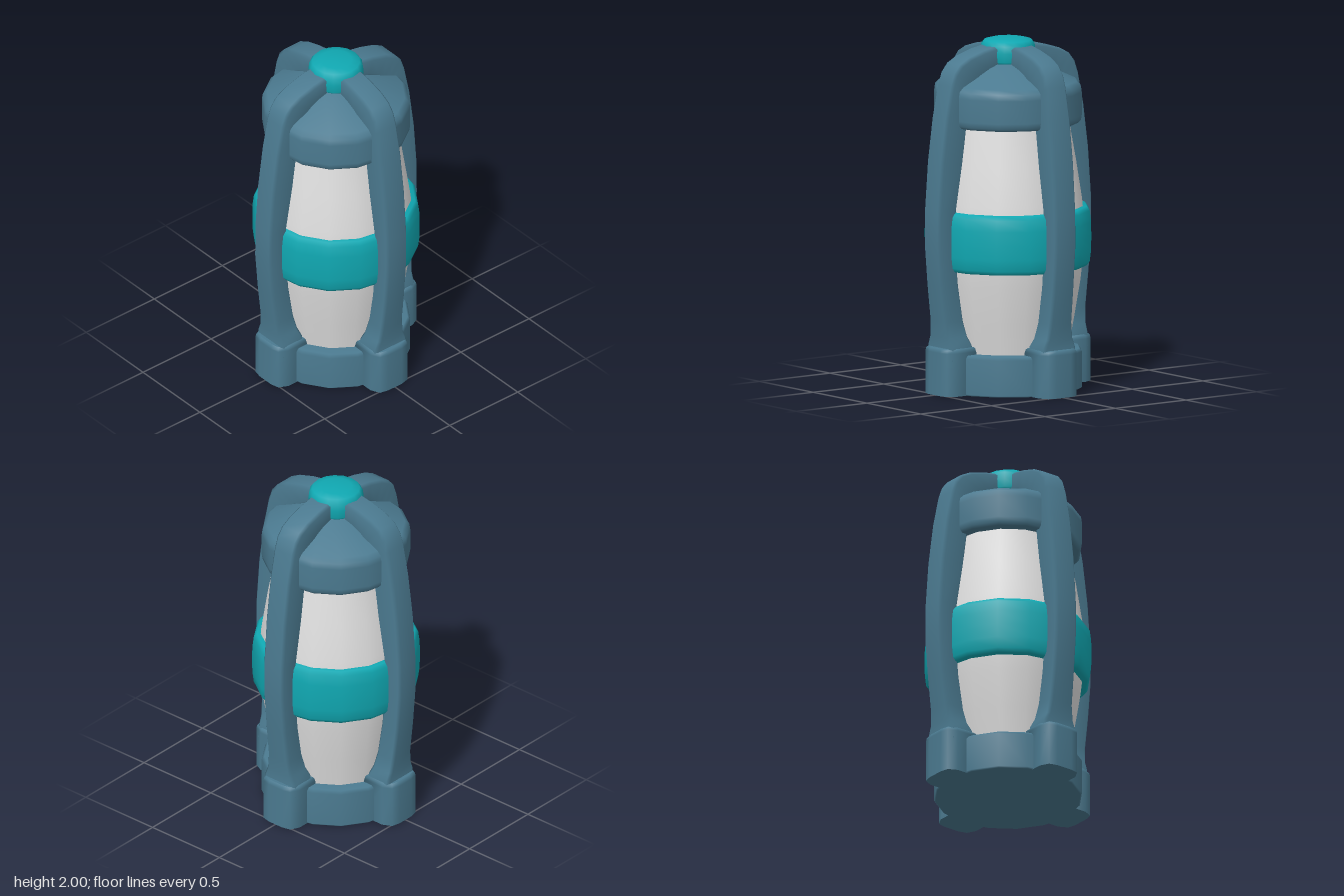
import * as THREE from 'three';
import { mergeVertices } from 'three/addons/utils/BufferGeometryUtils.js';

const SIDES = 16;

// Revolved part, listed bottom to top as [radius, y], with area-weighted smooth normals
function lathe(profile) {
  let geo = new THREE.LatheGeometry(profile.map(([r, y]) => new THREE.Vector2(r, y)), SIDES);
  geo.deleteAttribute('uv');
  geo.deleteAttribute('normal');
  geo = mergeVertices(geo, 1e-4);
  geo.computeVertexNormals();
  return geo;
}

// Skin over equal-length rings, with flat caps on both ends
function loft(rings) {
  const n = rings[0].length;
  const last = rings.length - 1;
  const points = [...rings, rings[0], rings[last]].flat();
  const index = [];
  for (let i = 0; i < last; i++) {
    for (let j = 0; j < n; j++) {
      const k = (j + 1) % n;
      const a = i * n + j, b = i * n + k, c = b + n, d = a + n;
      index.push(a, b, c, a, c, d);
    }
  }
  const bottom = rings.length * n, top = bottom + n;
  for (let j = 1; j < n - 1; j++) {
    index.push(bottom, bottom + j + 1, bottom + j);
    index.push(top, top + j, top + j + 1);
  }
  const geo = new THREE.BufferGeometry();
  geo.setAttribute('position', new THREE.Float32BufferAttribute(points.flat(), 3));
  geo.setIndex(index);
  geo.computeVertexNormals();
  return geo;
}

// Bevelled rectangular section of an arm between an outer and an inner point
function armRing([ox, oy, ix, iy, w]) {
  const len = Math.hypot(ix - ox, iy - oy);
  const b = 0.016, t = b / len;
  const at = (s, z) => [ox + (ix - ox) * s, oy + (iy - oy) * s, z];
  return [
    at(0, w - b), at(0, b - w), at(t, -w), at(1 - t, -w),
    at(1, b - w), at(1, w - b), at(1 - t, w), at(t, w),
  ];
}

export function createModel() {
  const model = new THREE.Group();
  model.name = 'lantern';

  const slate = new THREE.MeshStandardMaterial({ color: 0x4b7a90 });
  slate.name = 'slate blue';
  const teal = new THREE.MeshStandardMaterial({ color: 0x10a8b2 });
  teal.name = 'teal';
  const white = new THREE.MeshStandardMaterial({ color: 0xe0e0e0 });
  white.name = 'pale grey';

  const add = (name, geometry, material, parent = model) => {
    const mesh = new THREE.Mesh(geometry, material);
    mesh.name = name;
    parent.add(mesh);
    return mesh;
  };

  // Central column
  add('base', lathe([
    [0, 0], [0.412, 0], [0.42, 0.008], [0.42, 0.21], [0.405, 0.228], [0.3, 0.23],
  ]), slate);
  add('glass', lathe([
    [0.338, 0.2], [0.375, 0.4], [0.412, 0.62], [0.432, 0.8], [0.434, 0.94],
    [0.422, 1.08], [0.388, 1.3], [0.347, 1.53],
  ]), white);
  add('band', lathe([
    [0.41, 0.7], [0.448, 0.702], [0.465, 0.725], [0.473, 0.79], [0.474, 0.87],
    [0.473, 0.95], [0.465, 1.015], [0.448, 1.038], [0.41, 1.04],
  ]), teal);
  add('cap', lathe([
    [0.32, 1.515], [0.4, 1.515], [0.415, 1.53], [0.42, 1.56], [0.42, 1.69],
    [0.415, 1.725], [0.39, 1.75], [0.15, 1.86], [0, 1.87],
  ]), slate);
  add('knob', lathe([
    [0, 1.855], [0.145, 1.857], [0.154, 1.87], [0.157, 1.92], [0.152, 1.96],
    [0.135, 1.983], [0.09, 1.994], [0, 2],
  ]), teal);

  // Arm stations: outer x, outer y, inner x, inner y, half width
  const armGeo = loft([
    [0.495, 0.2, 0.32, 0.2, 0.115],
    [0.49, 0.28, 0.33, 0.28, 0.112],
    [0.492, 0.33, 0.35, 0.33, 0.092],
    [0.5, 0.42, 0.37, 0.42, 0.079],
    [0.525, 0.62, 0.4, 0.62, 0.075],
    [0.544, 0.85, 0.42, 0.85, 0.075],
    [0.543, 1.05, 0.415, 1.05, 0.075],
    [0.522, 1.33, 0.37, 1.31, 0.075],
    [0.488, 1.58, 0.34, 1.53, 0.075],
    [0.45, 1.76, 0.33, 1.68, 0.075],
    [0.425, 1.83, 0.31, 1.73, 0.075],
    [0.385, 1.878, 0.28, 1.77, 0.075],
    [0.32, 1.913, 0.24, 1.8, 0.075],
    [0.22, 1.943, 0.18, 1.83, 0.075],
    [0.13, 1.96, 0.11, 1.85, 0.075],
    [0, 1.965, 0, 1.86, 0.075],
  ].map(armRing));

  // Rounded foot outline as [x, z], shrunk near the top for a soft edge
  const outline = [
    [0.52, 0.05], [0.52, -0.05], [0.508, -0.1], [0.455, -0.126],
    [0.3, -0.126], [0.3, 0.126], [0.455, 0.126], [0.508, 0.1],
  ];
  const footRing = (y, s) => outline.map(([x, z]) => [0.41 + (x - 0.41) * s, y, z * s]);
  const footGeo = loft([
    footRing(0, 1), footRing(0.245, 1), footRing(0.262, 0.97), footRing(0.27, 0.9),
  ]);

  // Four identical arms with feet
  ['left', 'back', 'right', 'front'].forEach((side, i) => {
    const strut = new THREE.Group();
    strut.name = `${side}Strut`;
    strut.rotation.y = (i * Math.PI) / 2;
    add(`${side}Arm`, armGeo, slate, strut);
    add(`${side}Foot`, footGeo, slate, strut);
    model.add(strut);
  });

  return model;
}
